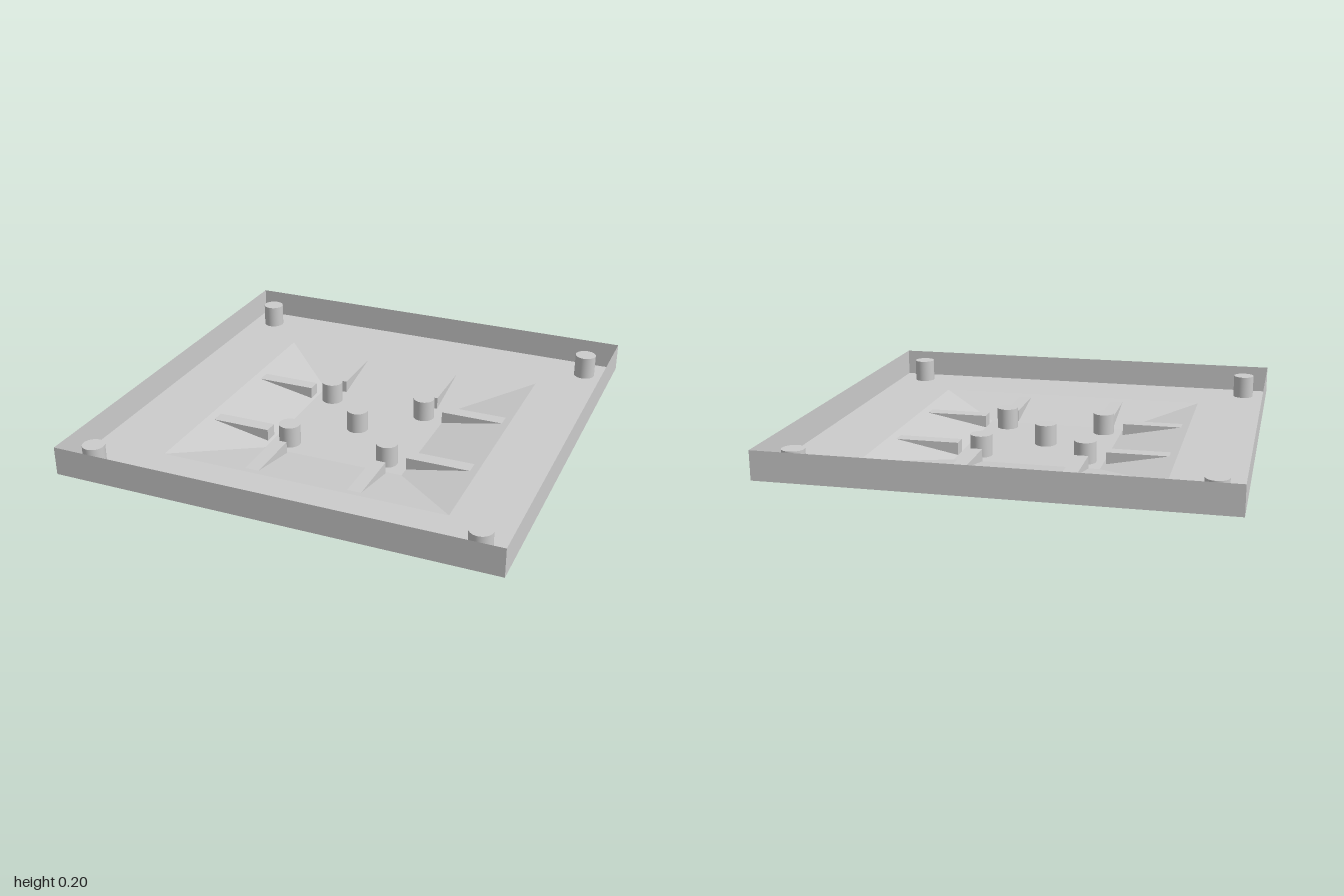
import * as THREE from 'three';

const grey = new THREE.MeshStandardMaterial({ color: 0xcccccc, side: THREE.DoubleSide });
grey.name = 'light grey';

const RIM = 0.2, FLOOR = 0.07, WELL = 0.005; // heights of the sheet
const CORNERS = [[-1, 1], [1, 1], [1, -1], [-1, -1]];

function addMesh(group, name, geometry, x = 0, y = 0, z = 0) {
  const mesh = new THREE.Mesh(geometry, grey);
  mesh.name = name;
  mesh.position.set(x, y, z);
  group.add(mesh);
}

// Four flat panels joining a square of half-width r0 to one of half-width r1
function squareRing(r0, y0, r1, y1) {
  const positions = [];
  CORNERS.forEach(([ax, az], i) => {
    const [bx, bz] = CORNERS[(i + 1) % 4];
    const a = [ax * r0, y0, az * r0], b = [bx * r0, y0, bz * r0];
    const c = [bx * r1, y1, bz * r1], d = [ax * r1, y1, az * r1];
    positions.push(...a, ...b, ...c, ...a, ...c, ...d);
  });
  const geometry = new THREE.BufferGeometry();
  geometry.setAttribute('position', new THREE.Float32BufferAttribute(positions, 3));
  geometry.computeVertexNormals();
  return geometry;
}

// Box given by its limits in x and z
function addRib(group, name, x0, x1, z0, z1) {
  const top = 0.063;
  addMesh(group, name, new THREE.BoxGeometry(x1 - x0, top, z1 - z0),
    (x0 + x1) / 2, top / 2, (z0 + z1) / 2);
}

function addPeg(group, name, x, z, bottom, top) {
  addMesh(group, name, new THREE.CylinderGeometry(0.05, 0.05, top - bottom, 40),
    x, (bottom + top) / 2, z);
}

export function createModel() {
  const model = new THREE.Group();
  model.name = 'tray';

  // Thin tray sheet with a sunken square well
  addMesh(model, 'rimWalls', squareRing(1, RIM, 1, FLOOR));
  addMesh(model, 'outerFloor', squareRing(1, FLOOR, 0.667, FLOOR));
  addMesh(model, 'wellSlopes', squareRing(0.667, FLOOR, 0.335, WELL));
  addMesh(model, 'wellFloor', new THREE.PlaneGeometry(0.67, 0.67).rotateX(-Math.PI / 2), 0, WELL, 0);

  // Ribs crossing the slopes, two on each side
  for (const [a, b] of [[-0.283, -0.218], [0.201, 0.265]]) {
    addRib(model, 'backRib', a, b, -0.665, -0.338);
    addRib(model, 'frontRib', a, b, 0.35, 0.683);
  }
  for (const [a, b] of [[-0.267, -0.203], [0.214, 0.279]]) {
    addRib(model, 'rightRib', -0.683, -0.35, a, b);
    addRib(model, 'leftRib', 0.335, 0.663, a, b);
  }

  // Pegs: one near each corner, four around the well and one in the middle
  for (const x of [-0.884, 0.866])
    for (const z of [-0.867, 0.88]) addPeg(model, 'cornerPeg', x, z, FLOOR, 0.178);
  for (const x of [-0.25, 0.232])
    for (const z of [-0.236, 0.25]) addPeg(model, 'wellPeg', x, z, WELL, 0.104);
  addPeg(model, 'centrePeg', -0.016, 0, WELL, 0.104);

  return model;
}
